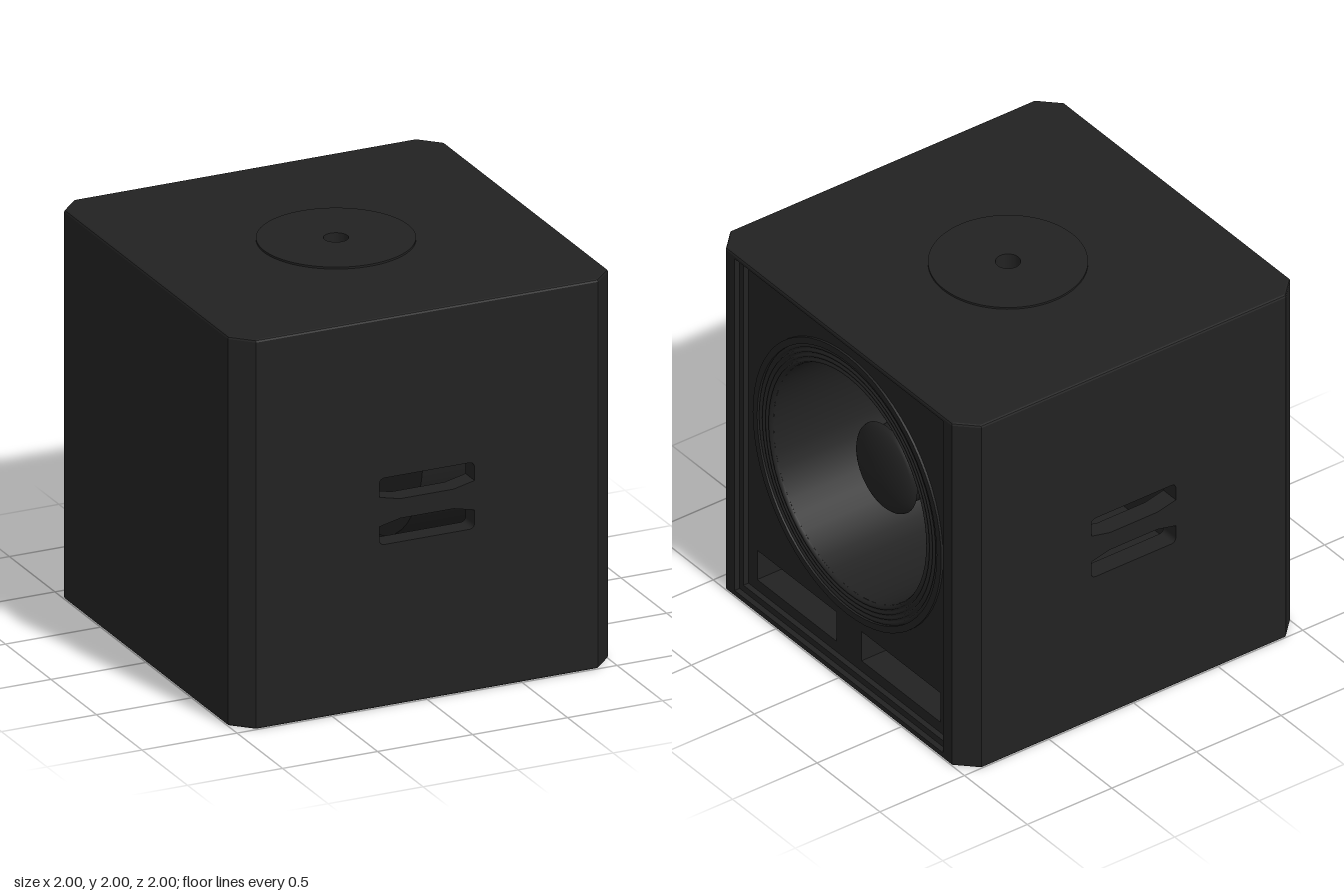
import * as THREE from 'three';

const matte = new THREE.MeshStandardMaterial({ color: 0x222222, side: THREE.DoubleSide });
matte.name = 'matteBlack';

function add(parent, name, geometry) {
  const mesh = new THREE.Mesh(geometry, matte);
  mesh.name = name;
  parent.add(mesh);
  return mesh;
}

const polygon = (pts) => new THREE.Shape(pts.map(([x, y]) => new THREE.Vector2(x, y)));
const rect = (x0, y0, x1, y1) => polygon([[x0, y0], [x1, y0], [x1, y1], [x0, y1]]);
const circle = (x, y, r) => new THREE.Shape().absarc(x, y, r, 0, Math.PI * 2, true);

// Flat plate with holes, its back at the given depth position
function plate(shape, holes, start, depth) {
  shape.holes.push(...holes);
  return new THREE.ExtrudeGeometry(shape, { depth, bevelEnabled: false, curveSegments: 48 })
    .translate(0, 0, start);
}

// Surface turned around the x axis from [radius, x] points
function turned(pts, segments = 64) {
  return new THREE.LatheGeometry(pts.map(([r, x]) => new THREE.Vector2(r, x)), segments)
    .rotateZ(-Math.PI / 2);
}

// Grip slot above (s = 1) or below (s = -1) the handle bar
function gripSlot(s) {
  const y = (v) => 1 + s * v;
  const p = new THREE.Shape();
  p.moveTo(-0.14, y(0.05));
  p.lineTo(0.14, y(0.05));
  p.lineTo(0.25, y(0.075));
  p.lineTo(0.25, y(0.14));
  p.quadraticCurveTo(0.25, y(0.17), 0.22, y(0.17));
  p.lineTo(-0.22, y(0.17));
  p.quadraticCurveTo(-0.25, y(0.17), -0.25, y(0.14));
  p.lineTo(-0.25, y(0.075));
  p.closePath();
  return p;
}

export function createModel() {
  const model = new THREE.Group();
  model.name = 'subwoofer';
  const wallTop = 1.978;
  const wallLow = 0.012;

  // Top and bottom panels with cut corners and softened edges
  const panel = (hole) => {
    const s = polygon([[-0.9, -1], [0.9, -1], [1, -0.9], [1, 0.9], [0.9, 1], [-0.9, 1], [-1, 0.9], [-1, -0.9]]);
    if (hole) s.holes.push(circle(0, 0, 0.075));
    return new THREE.ExtrudeGeometry(s, {
      depth: 0.006, bevelThickness: 0.012, bevelSize: 0.012, bevelOffset: -0.012, bevelSegments: 2, curveSegments: 32,
    }).rotateX(-Math.PI / 2);
  };
  add(model, 'topPanel', panel(true)).position.y = 1.972;
  add(model, 'bottomPanel', panel(false)).position.y = 0.012;

  // Pole mount: thin disc with a central socket
  const disc = plate(circle(0, 0, 0.38), [circle(0, 0, 0.06)], 0, 0.012).rotateX(-Math.PI / 2);
  add(model, 'mountDisc', disc).position.y = 1.988;
  const socket = [[0, 1.9], [0.06, 1.9], [0.06, 1.9], [0.06, 1.995]].map(([x, y]) => new THREE.Vector2(x, y));
  add(model, 'poleSocket', new THREE.LatheGeometry(socket, 32));

  // Walls with the carrying handles
  for (const [name, z] of [['frontWall', 0.9], ['backWall', -1]]) {
    add(model, name, plate(rect(-0.9, wallLow, 0.9, wallTop), [gripSlot(1), gripSlot(-1)], z, 0.1));
  }

  // Plain wall opposite the speaker
  const plain = new THREE.BoxGeometry(0.1, wallTop - wallLow, 1.8);
  add(model, 'plainWall', plain).position.set(-0.95, (wallTop + wallLow) / 2, 0);

  // Cut vertical corners
  for (const sx of [-1, 1]) {
    for (const sz of [-1, 1]) {
      const tri = [[sx * 0.9, -sz * 0.9], [sx, -sz * 0.9], [sx * 0.9, -sz]];
      const corner = new THREE.ExtrudeGeometry(polygon(tri), { depth: wallTop - wallLow, bevelEnabled: false });
      add(model, 'cornerPost', corner.rotateX(-Math.PI / 2)).position.y = wallLow;
    }
  }

  // Speaker side: stepped frame and baffle, drawn flat and turned to face +x
  const side = new THREE.Group();
  side.name = 'speakerSide';
  side.rotation.y = Math.PI / 2;
  model.add(side);
  add(side, 'outerFrame', plate(rect(-0.9, wallLow, 0.9, wallTop), [rect(-0.83, 0.035, 0.83, 1.965)], 0.9, 0.1));
  add(side, 'innerFrame', plate(rect(-0.84, 0.03, 0.84, 1.97), [rect(-0.8, 0.07, 0.8, 1.93)], 0.9, 0.07));
  const ports = [[-0.73, -0.1], [0.1, 0.73]];
  const holes = ports.map(([a, b]) => rect(a, 0.13, b, 0.3));
  add(side, 'baffle', plate(rect(-0.83, 0.035, 0.83, 1.965), [circle(0, 1.1, 0.73), ...holes], 0.88, 0.06));

  // Deep bass ports
  for (const [a, b] of ports) {
    const tube = plate(rect(a - 0.01, 0.12, b + 0.01, 0.31), [rect(a, 0.13, b, 0.3)], 0.45, 0.48);
    add(side, 'portDuct', tube);
    const end = new THREE.PlaneGeometry(b - a + 0.02, 0.19);
    add(side, 'portEnd', end).position.set((a + b) / 2, 0.215, 0.45);
  }

  // Woofer: rim, ribbed surround, deep basket and centre dome
  const woofer = new THREE.Group();
  woofer.name = 'woofer';
  woofer.position.y = 1.1;
  model.add(woofer);
  add(woofer, 'rim', turned([[0.75, 0.935], [0.75, 0.952], [0.75, 0.952], [0.715, 0.952], [0.715, 0.952], [0.715, 0.93]]));
  const ribs = [[0.72, 0.935]];
  for (let i = 0; i < 4; i++) {
    const r = 0.715 - i * 0.025;
    ribs.push([r - 0.006, 0.945], [r - 0.018, 0.945], [r - 0.025, 0.93]);
  }
  add(woofer, 'surround', turned(ribs));
  add(woofer, 'basketWall', turned([[0.615, 0.93], [0.615, 0.165]], 48));
  add(woofer, 'basketBack', turned([[0.615, 0.165], [0, 0.165]], 48));
  add(woofer, 'centrePole', turned([[0.2, 0.165], [0.2, 0.72]], 48));
  const dome = [];
  for (let i = 0; i <= 8; i++) {
    const t = (i / 8) * Math.PI / 2;
    dome.push([0.235 * Math.cos(t), 0.71 + 0.07 * Math.sin(t)]);
  }
  add(woofer, 'dustCap', turned(dome, 48));
  add(woofer, 'dustCapBack', turned([[0.235, 0.71], [0.19, 0.71]], 48));

  return model;
}
